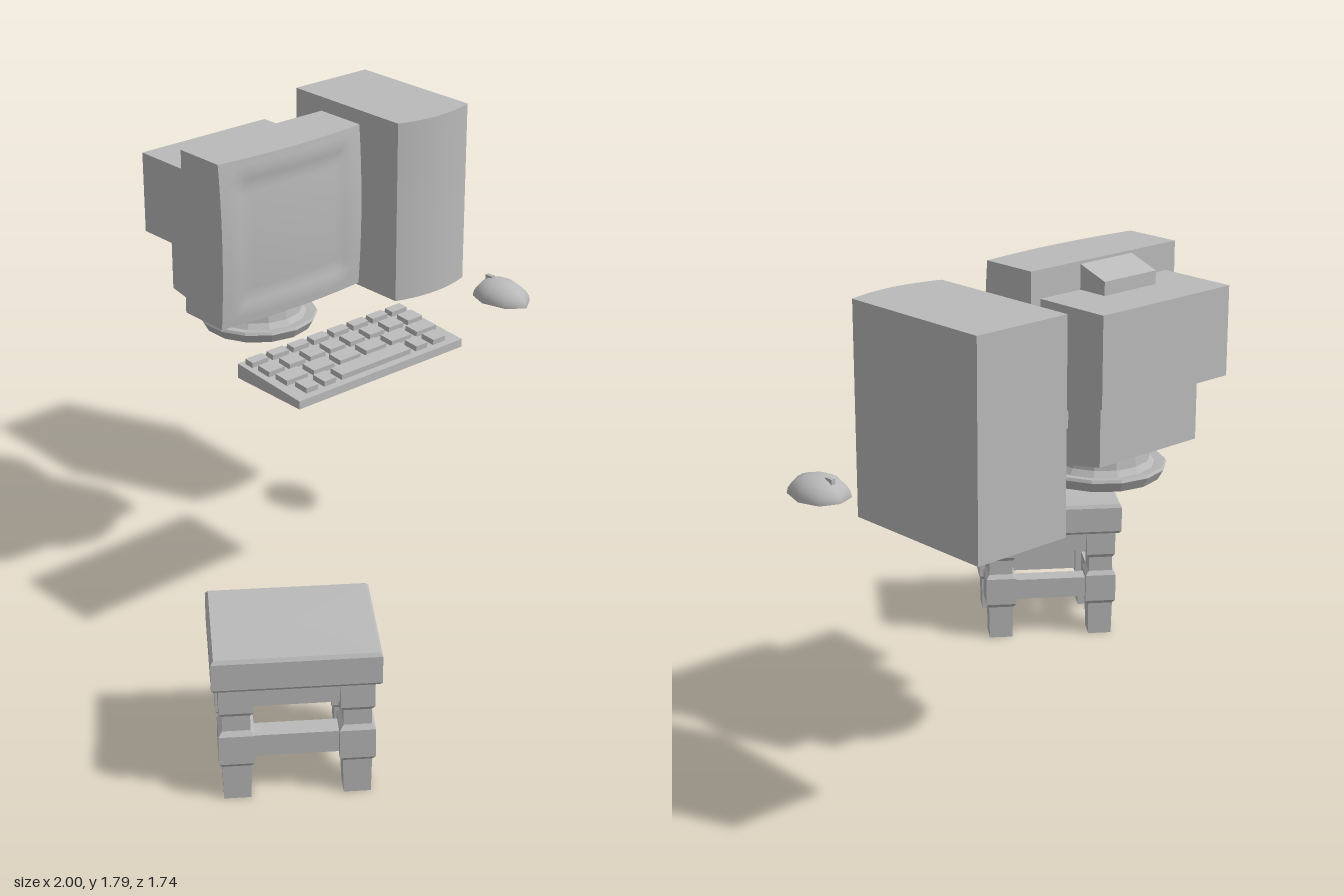
import * as THREE from 'three';

const grey = new THREE.MeshStandardMaterial({ color: 0xbababa });
grey.name = 'plain grey';

function add(parent, name, geometry, x = 0, y = 0, z = 0) {
  const mesh = new THREE.Mesh(geometry, grey);
  mesh.name = name;
  mesh.position.set(x, y, z);
  parent.add(mesh);
  return mesh;
}

// Box given by its limits on each axis
function block(parent, name, x0, x1, y0, y1, z0, z1) {
  return add(parent, name, new THREE.BoxGeometry(x1 - x0, y1 - y0, z1 - z0),
    (x0 + x1) / 2, (y0 + y1) / 2, (z0 + z1) / 2);
}

function flat(geometry) {
  const g = geometry.toNonIndexed();
  g.computeVertexNormals();
  return g;
}

// Faceted turning from [radius, height] pairs
function turned(profile, sides, phi = 0) {
  return flat(new THREE.LatheGeometry(profile.map(p => new THREE.Vector2(...p)), sides, phi));
}

// Side profile of [z, y] pairs extruded from x0 to x1
function sideExtrude(profile, x0, x1) {
  const shape = new THREE.Shape(profile.map(p => new THREE.Vector2(...p)));
  const g = new THREE.ExtrudeGeometry(shape, { depth: x1 - x0, bevelEnabled: false });
  return g.rotateY(-Math.PI / 2).translate(x1, 0, 0);
}

// Box whose front face follows rule(u, v), an offset in z with u and v from -1 to 1
function curvedFront(w, h, d, nx, ny, rule) {
  const g = new THREE.BoxGeometry(w, h, d, nx, ny, 1);
  const p = g.attributes.position;
  for (let i = 0; i < p.count; i++) {
    if (p.getZ(i) > 0) p.setZ(i, d / 2 + rule(p.getX(i) * 2 / w, p.getY(i) * 2 / h));
  }
  g.computeVertexNormals();
  return g;
}

function makeMonitor() {
  const g = new THREE.Group();
  g.name = 'monitor';
  // bulging front with a shallow sunken screen
  const screen = (u, v) => {
    const edge = Math.max(Math.abs(u), Math.abs(v));
    const sink = 1 - THREE.MathUtils.smoothstep(edge, 0.68, 0.82);
    return 0.02 * (1 - u * u) + 0.014 * (1 - v * v) - 0.012 * sink;
  };
  add(g, 'screenHousing', curvedFront(0.645, 0.612, 0.205, 24, 24, screen), 0.08, 1.487, -0.4175);
  block(g, 'rearHousing', -0.203, 0.363, 1.4, 1.7, -0.8, -0.51);
  add(g, 'topWedge', sideExtrude([[-0.63, 1.69], [-0.51, 1.69], [-0.51, 1.787], [-0.63, 1.745]], -0.04, 0.19));
  // lower body with a hollow behind the screen housing
  add(g, 'lowerBody', sideExtrude([
    [-0.73, 1.41], [-0.73, 1.18], [-0.43, 1.125], [-0.43, 1.2], [-0.49, 1.23], [-0.55, 1.245],
    [-0.585, 1.28], [-0.585, 1.33], [-0.56, 1.36], [-0.5, 1.37], [-0.5, 1.41]], -0.14, 0.3));
  add(g, 'swivelFoot', turned([[0, 0], [0.2, 0], [0.22, 0.035], [0.215, 0.045], [0.18, 0.04],
    [0.165, 0.06], [0.16, 0.1], [0, 0.11]], 14), 0.08, 1.058, -0.51);
  return g;
}

function makeKeyboard() {
  const g = new THREE.Group();
  g.name = 'keyboard';
  add(g, 'keyboardBody', sideExtrude([[-0.177, 1.058], [0.152, 1.058], [0.152, 1.088], [-0.177, 1.113]], -0.285, 0.482));
  const slope = 0.076;
  const key = (x0, x1, z0, z1) => {
    const z = (z0 + z1) / 2;
    const m = add(g, 'key', new THREE.BoxGeometry(x1 - x0, 0.03, z1 - z0),
      (x0 + x1) / 2, 1.088 + (0.152 - z) * slope + 0.005, z);
    m.rotation.x = slope;
  };
  for (let i = 0; i < 8; i++) {
    key(-0.265 + i * 0.094, -0.193 + i * 0.094, -0.16, -0.122);
    key(-0.26 + i * 0.0935, -0.19 + i * 0.0935, -0.097, -0.037);
  }
  for (let i = 0; i < 6; i++) key(-0.25 + i * 0.122, -0.155 + i * 0.122, -0.015, 0.045);
  for (const [a, b] of [[-0.23, -0.178], [-0.15, -0.096], [-0.07, 0.255], [0.282, 0.336], [0.365, 0.423]]) {
    key(a, b, 0.065, 0.125);
  }
  return g;
}

function makeMouse() {
  const g = new THREE.Group();
  g.name = 'mouse';
  g.position.set(0.905, 1.058, -0.053);
  // smooth eight-sided dome, widest towards the back
  const dome = new THREE.SphereGeometry(1, 8, 6, 0, Math.PI * 2, 0, Math.PI / 2);
  dome.scale(0.092, 0.073, 0.123);
  const base = new THREE.CircleGeometry(1, 8).rotateX(Math.PI / 2).scale(0.092, 1, 0.123);
  for (const part of [dome, base]) {
    const p = part.attributes.position;
    for (let i = 0; i < p.count; i++) {
      const t = p.getZ(i) / 0.123;
      p.setZ(i, p.getZ(i) - 0.02 * (1 - t * t));
    }
  }
  add(g, 'mouseShell', dome);
  add(g, 'mouseBase', base);
  block(g, 'mouseWheel', -0.008, 0.008, 0.04, 0.074, -0.088, -0.055);
  return g;
}

function makeStool() {
  const g = new THREE.Group();
  g.name = 'stool';
  g.position.set(-0.647, 0, 0.53);
  g.rotation.y = -0.628;
  // seat slab with a slight bevel on its top edge
  const seat = turned([[0, 0.43], [0.97, 0.43], [1, 0.44], [1, 0.537], [0.965, 0.55], [0, 0.552]]
    .map(([r, y]) => [r * Math.SQRT2, y]), 4, Math.PI / 4);
  seat.scale(0.275, 1, 0.219);
  seat.computeVertexNormals();
  add(g, 'seat', seat);
  // square legs with thicker blocks where the rails join
  const leg = turned([[0, 0], [0.045, 0], [0.048, 0.13], [0.059, 0.145], [0.059, 0.252], [0.046, 0.268],
    [0.046, 0.325], [0.056, 0.34], [0.056, 0.435]].map(([r, y]) => [r * Math.SQRT2, y]), 4, Math.PI / 4);
  const px = 0.197, pz = 0.15;
  for (const sx of [-1, 1]) for (const sz of [-1, 1]) add(g, 'leg', leg, sx * px, 0, sz * pz);
  // lower and upper rails on all four sides
  for (const [y, h] of [[0.197, 0.08], [0.392, 0.08]]) {
    for (const s of [-1, 1]) {
      add(g, 'longRail', new THREE.BoxGeometry(px * 2, h, 0.07), 0, y, s * pz);
      add(g, 'shortRail', new THREE.BoxGeometry(0.07, h, pz * 2), s * px, y, 0);
    }
  }
  return g;
}

export function createModel() {
  const model = new THREE.Group();
  model.name = 'computerAndStool';
  const tower = curvedFront(0.354, 0.7, 0.568, 12, 1, u => 0.031 * (1 - u * u));
  add(model, 'computerTower', tower, 0.759, 1.408, -0.588);
  model.add(makeMonitor(), makeKeyboard(), makeMouse(), makeStool());
  return model;
}
